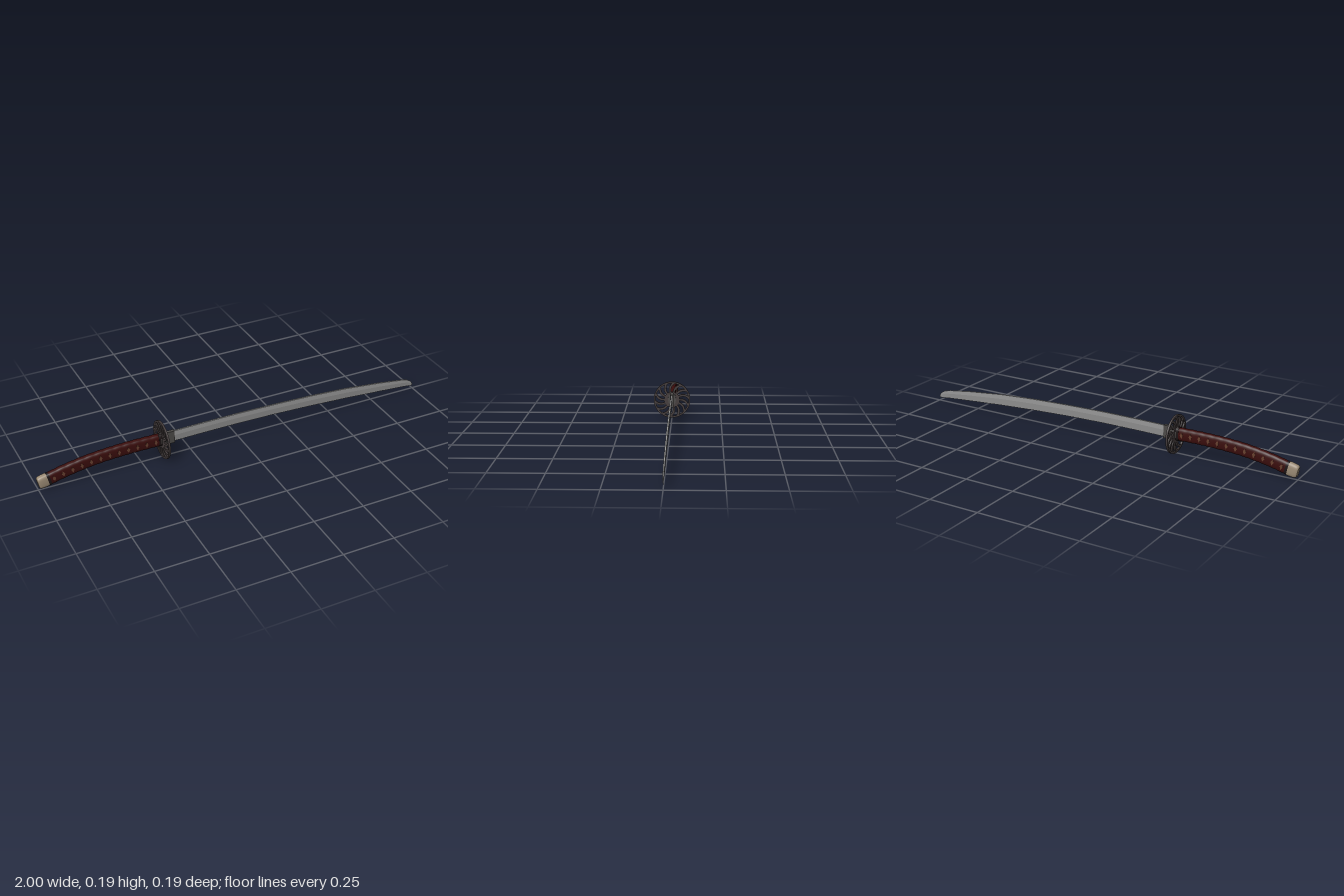
import * as THREE from 'three';

const mat = (name, color, extra = {}) => {
  const m = new THREE.MeshStandardMaterial({ color, ...extra });
  m.name = name;
  return m;
};

// Skin over rings of points (each ring runs from the top towards +z), with closed ends
function loft(rings) {
  const m = rings[0].length, pos = [], idx = [];
  const add = p => pos.push(p.x, p.y, p.z) / 3 - 1;
  rings.forEach(r => r.forEach(add));
  for (let i = 0; i < rings.length - 1; i++) {
    for (let j = 0; j < m; j++) {
      const a = i * m + j, b = i * m + (j + 1) % m;
      idx.push(a, b, a + m, b, b + m, a + m);
    }
  }
  [rings[0], rings[rings.length - 1]].forEach((r, end) => {
    const c = add(r.reduce((s, p) => s.add(p), new THREE.Vector3()).divideScalar(m));
    const ids = r.map(add);
    ids.forEach((p, j) => {
      const q = ids[(j + 1) % m];
      end ? idx.push(c, p, q) : idx.push(c, q, p);
    });
  });
  const g = new THREE.BufferGeometry();
  g.setAttribute('position', new THREE.Float32BufferAttribute(pos, 3));
  g.setIndex(idx);
  g.computeVertexNormals();
  return g;
}

const gripCurve = new THREE.CatmullRomCurve3([
  [-1, 0.037], [-0.95, 0.047], [-0.87, 0.066], [-0.74, 0.087], [-0.58, 0.097], [-0.385, 0.097],
].map(([x, y]) => new THREE.Vector3(x, y, 0)));

// Rounded-oval sweep along the grip; size(s) scales the section, s runs 0..1
function gripSweep(t0, t1, steps, size) {
  const rings = [];
  const pw = v => Math.sign(v) * Math.pow(Math.abs(v), 0.65);
  for (let i = 0; i <= steps; i++) {
    const s = i / steps, t = t0 + (t1 - t0) * s, k = size(s);
    const c = gripCurve.getPointAt(t), d = gripCurve.getTangentAt(t);
    const ring = [];
    for (let j = 0; j < 24; j++) {
      const a = j / 24 * Math.PI * 2;
      const h = 0.031 * k * pw(Math.cos(a)), w = 0.018 * k * pw(Math.sin(a));
      ring.push(new THREE.Vector3(c.x - d.y * h, c.y + d.x * h, w));
    }
    rings.push(ring);
  }
  return loft(rings);
}

export function createModel() {
  const model = new THREE.Group();
  const steel = mat('blade steel', 0x959595, { flatShading: true });
  const iron = mat('dark iron', 0x443c3c);
  const collarGrey = mat('collar grey', 0x4c4a48);
  const red = mat('dark red wrap', 0x3a0d0c);
  const brown = mat('brown inlay', 0x67402f);
  const black = mat('black fitting', 0x1c1415);
  const tan = mat('tan cap', 0x9a8a74);
  const add = (name, geo, material, parent = model) => {
    const mesh = new THREE.Mesh(geo, material);
    mesh.name = name;
    parent.add(mesh);
    return mesh;
  };

  // Blade: x, spine height, edge height, half thickness
  const stations = [
    [-0.39, 0.125, 0.067, 0.005], [-0.2, 0.127, 0.069, 0.005], [0, 0.127, 0.069, 0.005],
    [0.2, 0.123, 0.065, 0.005], [0.4, 0.116, 0.057, 0.005], [0.6, 0.104, 0.046, 0.005],
    [0.8, 0.083, 0.032, 0.0045], [0.93, 0.065, 0.022, 0.004], [0.965, 0.056, 0.019, 0.003],
    [0.985, 0.044, 0.017, 0.002], [0.996, 0.03, 0.016, 0.001], [1, 0.016, 0.015, 0.0003],
  ];
  add('blade', loft(stations.map(([x, top, low, w]) => {
    const ridge = top + (low - top) * 0.4;
    return [[top, w * 0.8], [ridge, w], [low, 0.0002], [low, -0.0002], [ridge, -w], [top, -w * 0.8]]
      .map(([y, z]) => new THREE.Vector3(x, y, z));
  })), steel);

  // Collar at the root of the blade
  const collar = add('bladeCollar', new THREE.BoxGeometry(0.055, 0.064, 0.017), collarGrey);
  collar.position.set(-0.358, 0.096, 0);

  // Guard: pierced disc with swirled windows
  const R = 0.093, windows = 14, pitch = Math.PI * 2 / windows;
  const disc = new THREE.Shape().absarc(0, 0, R, 0, Math.PI * 2);
  for (let i = 0; i < windows; i++) {
    const side = sign => Array.from({ length: 7 }, (_, k) => {
      const s = k / 6, r = 0.04 + 0.045 * s;
      const a = (i + 0.5) * pitch - 0.32 * s * s + sign * pitch * (0.24 + 0.06 * s);
      return new THREE.Vector2(r * Math.cos(a), r * Math.sin(a));
    });
    disc.holes.push(new THREE.Path([...side(1), ...side(-1).reverse()]));
  }
  const guardGeo = new THREE.ExtrudeGeometry(disc, { depth: 0.01, bevelEnabled: false, curveSegments: 48 });
  guardGeo.translate(0, 0, -0.005).rotateY(Math.PI / 2);
  add('guard', guardGeo, iron).position.set(-0.392, R, 0);

  // Oval washers on both faces of the guard
  for (const x of [-0.4, -0.384]) {
    const washer = add('guardWasher', new THREE.CylinderGeometry(1, 1, 0.006, 32), collarGrey);
    washer.rotation.z = Math.PI / 2;
    washer.scale.set(0.034, 1, 0.02);
    washer.position.set(x, 0.096, 0);
  }

  // Grip wrapped in bands, with fittings at both ends
  const bands = 12, g0 = 0.085, g1 = 0.965;
  add('gripWrap', gripSweep(g0, g1, bands * 6, s => 0.97 + 0.04 * Math.abs(Math.sin(s * bands * Math.PI))), red);
  add('gripEndRing', gripSweep(0.072, 0.095, 2, () => 1.03), black);
  add('gripFrontRing', gripSweep(0.955, 0.985, 2, () => 1.04), black);
  add('gripCap', gripSweep(0, 0.075, 12, s => 0.72 + 0.33 * Math.sqrt(1 - (1 - s) ** 4)), tan);

  // Diamond inlays between the wrap crossings
  const diamond = new THREE.Shape([[0.008, 0], [0, 0.015], [-0.008, 0], [0, -0.015]]
    .map(p => new THREE.Vector2(...p)));
  const diamondGeo = new THREE.ExtrudeGeometry(diamond, { depth: 0.003, bevelEnabled: false });
  diamondGeo.translate(0, 0, -0.0015);
  for (let i = 0; i < bands; i++) {
    const t = g0 + (g1 - g0) * (i + 0.5) / bands;
    const c = gripCurve.getPointAt(t), d = gripCurve.getTangentAt(t);
    for (const side of [1, -1]) {
      const inlay = add('diamondInlay', diamondGeo, brown);
      inlay.position.set(c.x, c.y, side * 0.0176);
      inlay.rotation.z = Math.atan2(d.y, d.x);
    }
  }
  return model;
}
